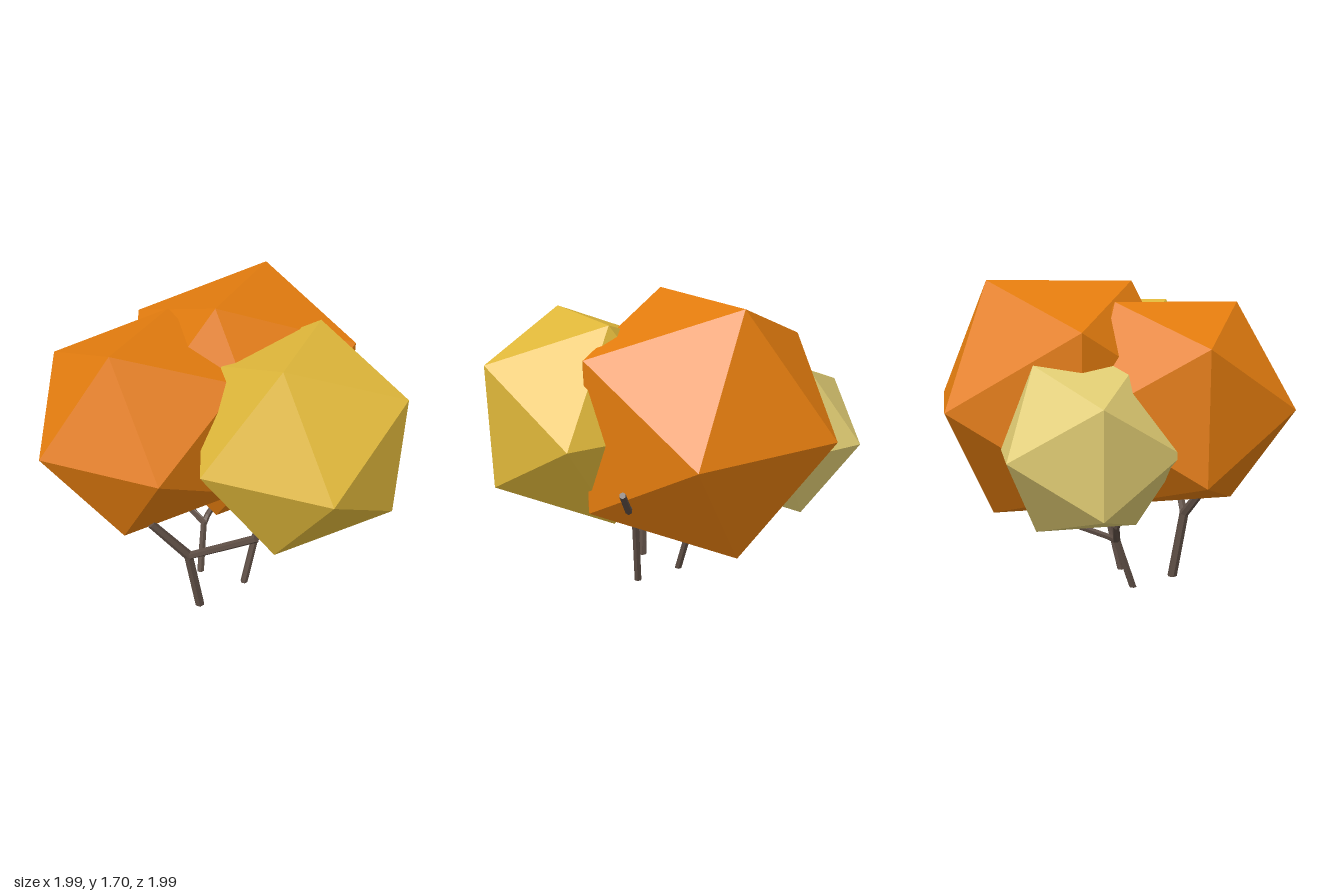
import * as THREE from 'three';

const material = (name, color) => {
  const m = new THREE.MeshStandardMaterial({ color });
  m.name = name;
  return m;
};

// Six-sided tapering limb swept through [x, y, z, radius] points
function limbGeometry(points, sides = 6) {
  const path = points.map((p) => new THREE.Vector3(p[0], p[1], p[2]));
  const ref = new THREE.Vector3(1, 0, 0);
  const pos = [];
  const index = [];
  const last = path.length - 1;
  path.forEach((p, i) => {
    const t = new THREE.Vector3();
    if (p.y === 0) t.set(0, 1, 0); // flat foot on the ground
    else {
      if (i > 0) t.add(p.clone().sub(path[i - 1]).normalize());
      if (i < last) t.add(path[i + 1].clone().sub(p).normalize());
      t.normalize();
    }
    const u = new THREE.Vector3().crossVectors(t, ref).normalize();
    const v = new THREE.Vector3().crossVectors(t, u);
    for (let j = 0; j < sides; j++) {
      const a = (j / sides) * Math.PI * 2;
      const q = p.clone()
        .addScaledVector(u, Math.cos(a) * points[i][3])
        .addScaledVector(v, Math.sin(a) * points[i][3]);
      pos.push(q.x, q.y, q.z);
    }
  });
  const start = pos.length / 3;
  pos.push(...path[0].toArray(), ...path[last].toArray());
  for (let j = 0; j < sides; j++) {
    const k = (j + 1) % sides;
    for (let i = 0; i < last; i++) {
      const a = i * sides + j, b = i * sides + k;
      index.push(a, b, a + sides, b, b + sides, a + sides);
    }
    index.push(start, k, j, start + 1, last * sides + j, last * sides + k);
  }
  const g = new THREE.BufferGeometry();
  g.setAttribute('position', new THREE.Float32BufferAttribute(pos, 3));
  g.setIndex(index);
  const flat = g.toNonIndexed();
  flat.computeVertexNormals();
  return flat;
}

export function createModel() {
  const model = new THREE.Group();
  model.name = 'autumnTree';
  const orange = material('orangeLeaves', 0xe37c0e);
  const gold = material('goldLeaves', 0xdfb73a);
  const pale = material('paleLeaves', 0xdfcb72);
  const bark = material('bark', 0x5f4f46);

  const add = (name, geometry, mat) => {
    const mesh = new THREE.Mesh(geometry, mat);
    mesh.name = name;
    model.add(mesh);
    return mesh;
  };

  // Foliage: icosahedra with one corner facing forward and the next facing +x
  const foliage = [
    ['frontFoliage', orange, 0.605, -0.14, 1.075, 0.39],
    ['backFoliage', orange, 0.73, -0.14, 1.075, -0.24],
    ['leftFoliage', gold, 0.605, 0.45, 1.075, -0.14],
    ['rightFoliage', pale, 0.47, -0.58, 0.91, 0.07],
  ];
  const tilt = Math.atan(2 / (1 + Math.sqrt(5)));
  for (const [name, mat, r, x, y, z] of foliage) {
    const g = new THREE.IcosahedronGeometry(r, 0);
    g.rotateX(tilt).rotateZ(Math.PI / 2);
    add(name, g, mat).position.set(x, y, z);
  }

  // Trunks and branches
  const limbs = {
    frontTrunk: [[0.195, 0, 0.305, 0.028], [0.19, 0.39, 0.37, 0.027], [0.105, 0.63, 0.54, 0.022]],
    frontBranch: [[0.19, 0.375, 0.37, 0.022], [0.21, 0.4, 0.36, 0.022], [0.555, 0.66, 0.2, 0.021]],
    rightTrunk: [[-0.035, 0, 0.135, 0.022], [-0.1, 0.29, 0.06, 0.022],
      [-0.34, 0.45, 0.14, 0.019], [-0.4, 0.6, 0.21, 0.016]],
    rightBranch: [[-0.095, 0.28, 0.065, 0.018], [-0.12, 0.31, 0.02, 0.018],
      [-0.2, 0.39, -0.17, 0.017], [-0.31, 0.49, -0.31, 0.015]],
    backTrunk: [[0.2, 0, -0.015, 0.022], [0.2, 0.57, -0.16, 0.021],
      [0.19, 0.77, -0.5, 0.018], [0.18, 0.78, -0.72, 0.017], [0.18, 0.98, -0.985, 0.015]],
  };
  for (const [name, points] of Object.entries(limbs)) add(name, limbGeometry(points), bark);

  return model;
}
